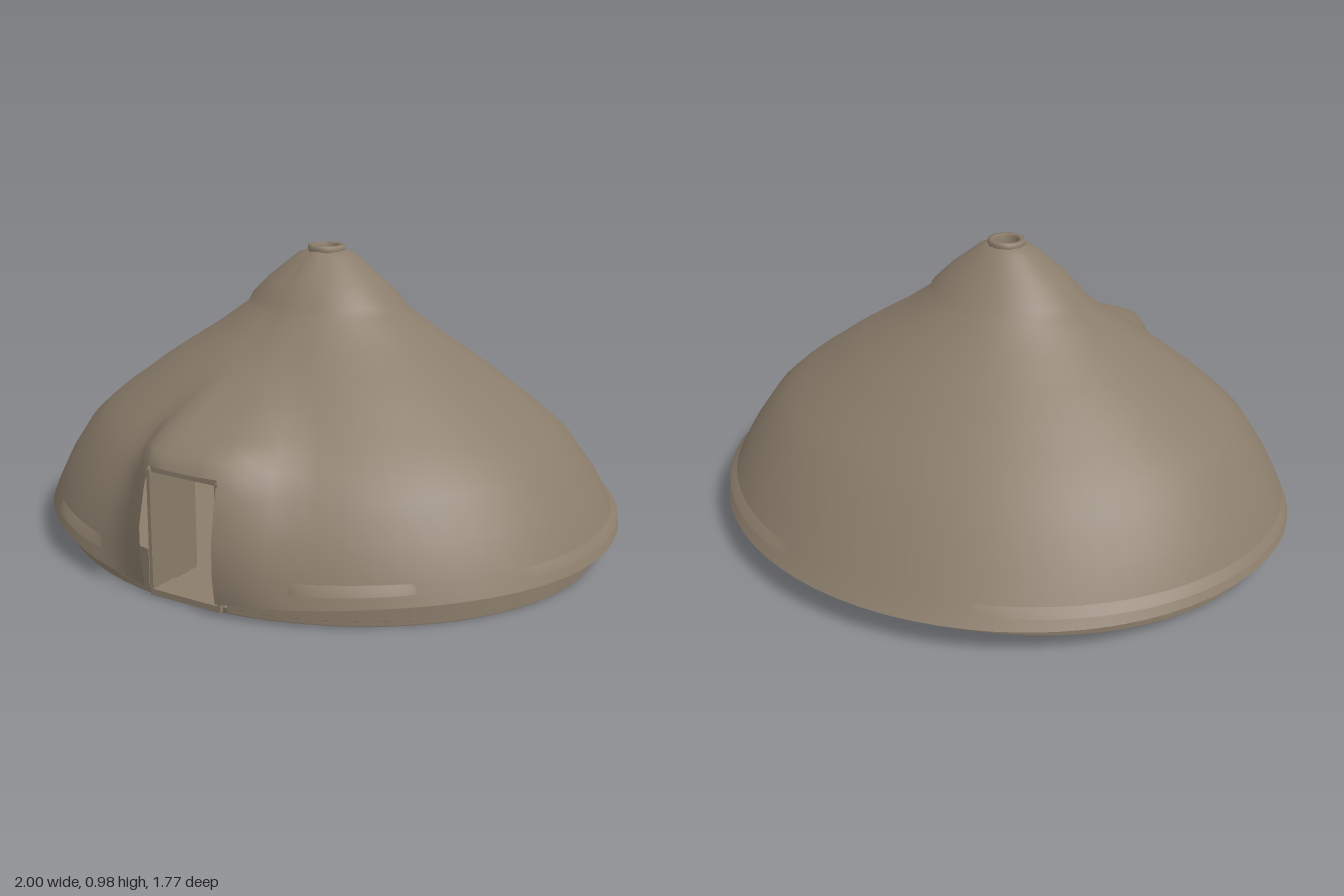
import * as THREE from 'three';

const CZ = 0.04;      // apex offset toward the front
const DOOR = 0.157;   // half angle of the doorway
// Roof profile: height, radius at the sides, at the back, along the porch ridge
const LEVELS = [
  [0.965, 0.06, 0.06, 0.06], [0.95, 0.1, 0.09, 0.09], [0.87, 0.2, 0.16, 0.17],
  [0.81, 0.26, 0.22, 0.22], [0.78, 0.275, 0.24, 0.235], [0.69, 0.4, 0.34, 0.33],
  [0.62, 0.51, 0.43, 0.44], [0.56, 0.6, 0.5, 0.58], [0.5, 0.68, 0.57, 0.71],
  [0.465, 0.73, 0.61, 0.785], [0.42, 0.785, 0.66, 0.81], [0.36, 0.85, 0.72, 0.83],
  [0.24, 0.93, 0.82, 0.855], [0.15, 0.975, 0.88, 0.855], [0.09, 1.0, 0.93, 0.84],
];
const DOOR_LEVEL = 10;

// Point on the roof at angle t (0 = front) and fractional level k
function roofPoint(t, k, out = 0) {
  const i = Math.min(Math.floor(k), LEVELS.length - 2), f = k - i;
  const [y, side, back, ridge] = LEVELS[i].map((v, n) => v + (LEVELS[i + 1][n] - v) * f);
  const s = Math.sin(t), c = Math.cos(t);
  const depth = c < 0 ? back : side * 0.84;
  const base = 1 / Math.hypot(s / side, c / depth);
  const away = Math.abs(Math.atan2(s, c));
  const porch = Math.exp(-((Math.max(0, away - DOOR) / 0.17) ** 2));
  const dip = Math.exp(-((away / 0.6) ** 2)) * Math.max(0, k - 12) / 2 * 0.05;
  const r = base + (ridge - base) * porch + out;
  return [r * s, y - dip, CZ + r * c];
}

// Surface through a grid of points, with optional skipped cells
function gridSurface(rows, cols, point, skip = () => false, wrap = false) {
  const pos = [], index = [];
  for (let i = 0; i < rows; i++) for (let j = 0; j < cols; j++) pos.push(...point(i, j));
  for (let i = 0; i < rows - 1; i++) {
    for (let j = 0; j < (wrap ? cols : cols - 1); j++) {
      if (skip(i, j)) continue;
      const n = (j + 1) % cols;
      const a = i * cols + j, b = i * cols + n, c = a + cols, d = b + cols;
      index.push(a, c, d, a, d, b);
    }
  }
  const g = new THREE.BufferGeometry();
  g.setAttribute('position', new THREE.Float32BufferAttribute(pos, 3));
  g.setIndex(index);
  g.computeVertexNormals();
  return g;
}

export function createModel() {
  const clay = new THREE.MeshStandardMaterial({ color: 0x8b7d6b, side: THREE.DoubleSide });
  clay.name = 'clay brown';
  const hut = new THREE.Group();
  hut.name = 'hut';
  const add = (name, geometry, x = 0, y = 0, z = 0) => {
    const mesh = new THREE.Mesh(geometry, clay);
    mesh.name = name;
    mesh.position.set(x, y, z);
    hut.add(mesh);
    return mesh;
  };

  // Roof with the porch swelling and an open doorway
  const angles = [-DOOR, -DOOR / 2, 0, DOOR / 2];
  const SEG = 64;
  for (let j = 0; j < SEG; j++) angles.push(DOOR + (j / SEG) * 2 * (Math.PI - DOOR));
  add('roof', gridSurface(LEVELS.length, angles.length,
    (i, j) => roofPoint(angles[j], i),
    (i, j) => i >= DOOR_LEVEL && j < 4, true));

  // Low wall under the eaves, open at the door
  const wall = new THREE.CylinderGeometry(1, 1, 0.14, 64, 1, true, DOOR, 2 * (Math.PI - DOOR));
  wall.scale(0.935, 1, 0.805);
  add('wall', wall, 0, 0.075, 0.035);

  // Floor slab
  const floor = new THREE.CylinderGeometry(1, 0.995, 0.02, 64);
  floor.scale(0.935, 1, 0.805);
  add('floor', floor, 0, 0.01, 0.035);

  // Doorway passage: jambs and lintel
  for (const side of [1, -1]) {
    add('doorJamb', new THREE.BoxGeometry(0.012, 0.4, 0.22), side * 0.126, 0.21, 0.735);
  }
  add('doorLintel', new THREE.BoxGeometry(0.25, 0.02, 0.2), 0, 0.41, 0.735);
  add('doorSill', new THREE.BoxGeometry(0.26, 0.02, 0.1), 0, 0.015, 0.795);

  // Folds in the thatch just above the eaves: start angle, end angle
  for (const [from, to] of [[0.43, 0.85], [1.2, 2.75], [-0.85, -0.43], [-2.75, -1.2]]) {
    const n = 24;
    add('eaveFold', gridSurface(3, n + 1, (i, j) => {
      const t = from + ((to - from) * j) / n;
      const lift = Math.sin((Math.PI * j) / n) ** 0.5;
      return roofPoint(t, 13 + i * 0.22, [0, 0.008, 0.012][i] * lift);
    }));
  }

  // Smoke hole rim
  const rim = [[0.04, 0.94], [0.042, 0.975], [0.05, 0.982], [0.062, 0.98], [0.064, 0.965], [0.06, 0.955]];
  add('smokeHoleRim', new THREE.LatheGeometry(rim.map(([x, y]) => new THREE.Vector2(x, y)).reverse(), 10), 0, 0, CZ);

  // Hearth: a ring of stones and leaning sticks
  const hearth = new THREE.Group();
  hearth.name = 'hearth';
  hearth.position.set(0, 0.02, CZ);
  for (let i = 0; i < 8; i++) {
    const a = (i / 8) * Math.PI * 2;
    const stone = new THREE.Mesh(new THREE.IcosahedronGeometry(0.02, 0), clay);
    stone.name = 'hearthStone';
    stone.position.set(Math.sin(a) * 0.08, 0.01, Math.cos(a) * 0.08);
    hearth.add(stone);
    if (i % 2) continue;
    const stick = new THREE.Mesh(new THREE.CylinderGeometry(0.006, 0.006, 0.1, 5), clay);
    stick.name = 'firewood';
    stick.position.set(Math.sin(a) * 0.025, 0.04, Math.cos(a) * 0.025);
    stick.rotation.set(-Math.cos(a) * 0.55, 0, Math.sin(a) * 0.55);
    hearth.add(stick);
  }
  hut.add(hearth);
  return hut;
}
